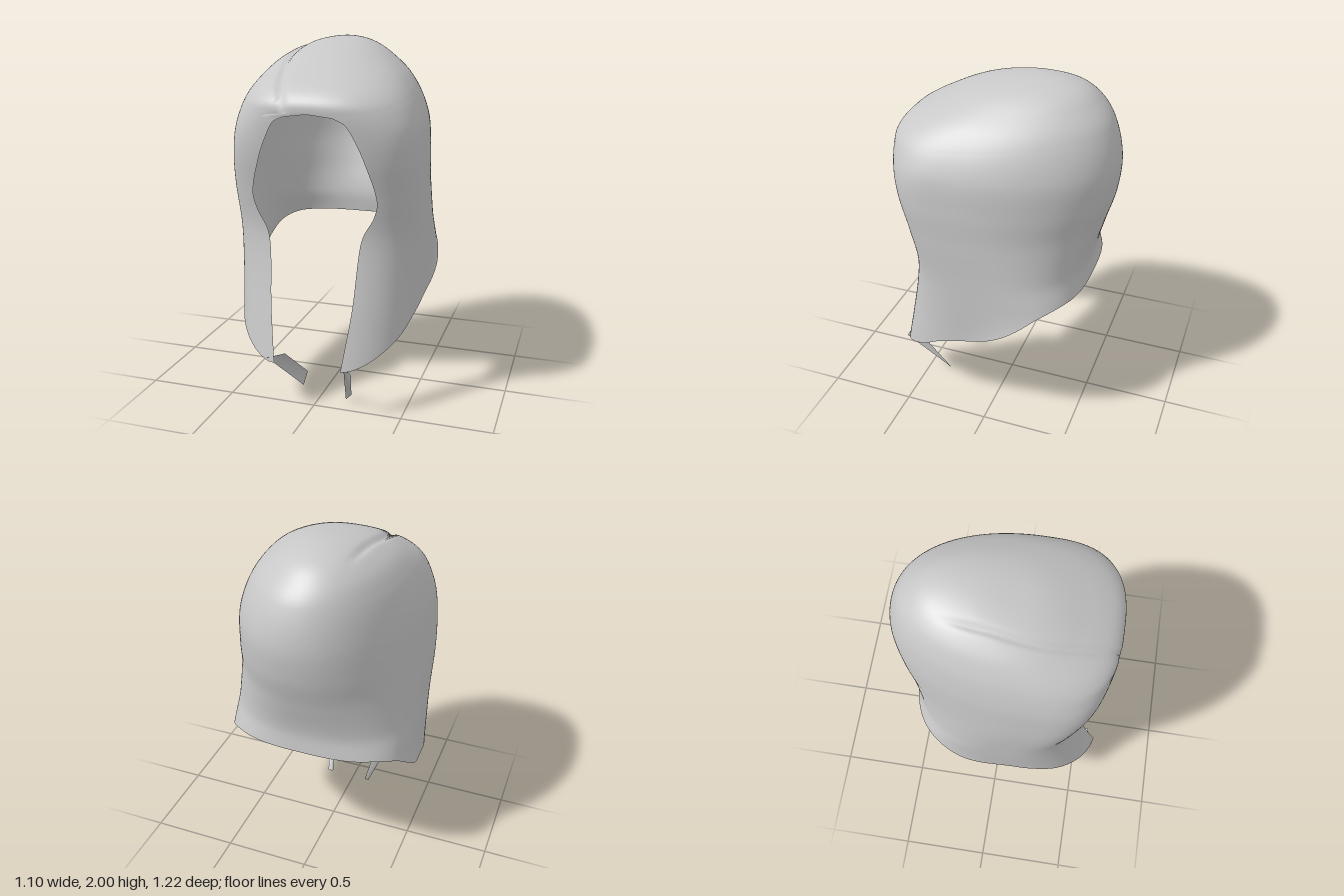
import * as THREE from 'three';
import { mergeVertices } from 'three/addons/utils/BufferGeometryUtils.js';

// Smooth curve through [key, value] pairs with ascending keys.
function track(points) {
  const n = points.length - 1;
  const slope = (i) => {
    const a = points[Math.max(i - 1, 0)], b = points[Math.min(i + 1, n)];
    return (b[1] - a[1]) / (b[0] - a[0]);
  };
  return (k) => {
    if (k <= points[0][0]) return points[0][1];
    if (k >= points[n][0]) return points[n][1];
    let i = 0;
    while (points[i + 1][0] < k) i++;
    const [k0, v0] = points[i], [k1, v1] = points[i + 1];
    const d = k1 - k0, t = (k - k0) / d, t2 = t * t, t3 = t2 * t;
    return v0 * (2 * t3 - 3 * t2 + 1) + v1 * (3 * t2 - 2 * t3)
      + d * (slope(i) * (t3 - 2 * t2 + t) + slope(i + 1) * (t3 - t2));
  };
}

// Same, keyed by height from the crown down, so the crown stays round.
function heightTrack(points) {
  const f = track(points.map(([y, v]) => [Math.sqrt(2 - y), v]));
  return (y) => f(Math.sqrt(Math.max(0, 2 - y)));
}

const ARCH = 1.65; // top of the face opening
const TIP = 0.28;  // lowest front corner

// Half width, sideways lean, front, widest and back depth, and squareness of the horizontal sections
const halfWidth = heightTrack([[2, 0], [1.95, 0.21], [1.8, 0.395], [1.6, 0.495], [1.4, 0.522],
  [1.2, 0.53], [1, 0.53], [0.8, 0.53], [0.6, 0.525], [TIP, 0.52]]);
const lean = heightTrack([[2, -0.03], [1.9, -0.025], [1.8, -0.005], [1.6, 0.014], [1.4, 0.01], [1.2, 0.002], [TIP, 0]]);
const frontZ = heightTrack([[2, -0.2], [1.98, 0], [1.94, 0.18], [1.85, 0.39], [1.8, 0.485], [1.75, 0.56],
  [1.7, 0.6], [1.65, 0.605], [1.55, 0.59], [1.4, 0.56], [1.2, 0.512], [1, 0.485], [0.8, 0.51], [0.5, 0.575], [TIP, 0.625]]);
const midZ = heightTrack([[2, -0.2], [1.95, -0.1], [1.8, 0.06], [1.6, 0.17], [1.4, 0.18], [1.2, 0.14],
  [0.85, 0.03], [TIP, 0.05]]);
const backZ = heightTrack([[2, -0.2], [1.97, -0.38], [1.9, -0.48], [1.8, -0.555], [1.6, -0.61],
  [1.4, -0.595], [1.2, -0.54], [1, -0.49], [0.88, -0.49], [TIP, -0.49]]);
const frontPower = heightTrack([[2, 2.1], [1.85, 2.35], [1.65, 2.8], [1.45, 3.4], [1.2, 3.3], [0.8, 2.9], [TIP, 2.65]]);
const backPower = heightTrack([[2, 2.1], [1.3, 2.15], [1, 2.6], [0.85, 3], [TIP, 3]]);

// Half width of the face opening and height of the bottom edge
const openingX = heightTrack([[ARCH, 0], [1.64, 0.11], [1.62, 0.165], [1.6, 0.195], [1.5, 0.25], [1.4, 0.29],
  [1.2, 0.345], [1.1, 0.325], [1, 0.27], [0.9, 0.25], [0.6, 0.23], [TIP, 0.19]]);
const hemY = track([[-0.48, 0.875], [-0.4, 0.865], [-0.3, 0.82], [-0.2, 0.745], [-0.1, 0.675], [0, 0.62],
  [0.2, 0.55], [0.3, 0.51], [0.4, 0.44], [0.5, 0.37], [0.6, TIP]]);
const seamX = track([[-0.3, -0.19], [-0.1, -0.21], [0.2, -0.23], [0.45, -0.18], [0.6, -0.13]]);

function section(a, y) {
  const c = Math.cos(a), s = Math.sin(a), front = c > 0;
  const e = 2 / (front ? frontPower(y) : backPower(y));
  const mid = midZ(y);
  return {
    x: lean(y) + halfWidth(y) * Math.sign(s) * Math.abs(s) ** e,
    z: mid + ((front ? frontZ(y) : backZ(y)) - mid) * Math.abs(c) ** e,
  };
}

// Angle at which a section meets the face opening
function startAngle(y) {
  if (y >= ARCH) return 0;
  return Math.asin((openingX(y) / halfWidth(y)) ** (frontPower(y) / 2));
}

function hoodGeometry(rows = 102, cols = 160) {
  const { smoothstep } = THREE.MathUtils;
  const pos = [], index = [], base = startAngle(TIP);
  for (let i = 0; i <= rows; i++) {
    let level = 2 - (2 - TIP) * (1 - i / rows) ** 2;
    if (Math.abs(level - ARCH) < 0.006) level = ARCH;
    const a0 = startAngle(level), rise = (level - TIP) / (2 - TIP);
    for (let j = 0; j <= cols; j++) {
      const t = j / cols;
      const hem = hemY(section(base + (2 * Math.PI - 2 * base) * t, TIP).z);
      let y = hem + rise * (2 - hem);
      let { x, z } = section(a0 + (2 * Math.PI - 2 * a0) * t, y);
      // Hem flaring out at the sides and back
      const flare = 0.055 * (1 - rise) ** 11 * (1 - smoothstep(z, -0.2, 0.15));
      x *= 1 + flare;
      z *= 1 + flare * 0.4;
      // Pressed-in seam running over the crown
      const fade = smoothstep(z, -0.35, -0.1) * smoothstep(y, 1.6, 1.7);
      const groove = 0.014 * fade * Math.exp(-(((x - seamX(z)) / 0.02) ** 2));
      y -= groove;
      z -= groove * 0.6;
      pos.push(x, y, z);
      if (i < rows && j < cols) {
        const p = i * (cols + 1) + j, q = p + cols + 1;
        index.push(p, p + 1, q + 1, p, q + 1, q);
      }
    }
  }
  const g = new THREE.BufferGeometry();
  g.setAttribute('position', new THREE.Float32BufferAttribute(pos, 3));
  g.setIndex(index);
  const merged = mergeVertices(g, 1e-4);
  merged.computeVertexNormals();
  return merged;
}

// Flat tapered tie from four corners
function tieGeometry(corners) {
  const g = new THREE.BufferGeometry();
  g.setAttribute('position', new THREE.Float32BufferAttribute(corners.flat(), 3));
  g.setIndex([0, 1, 2, 0, 2, 3]);
  g.computeVertexNormals();
  return g;
}

export function createModel() {
  const cloth = new THREE.MeshStandardMaterial({ color: 0xc8c8c8, side: THREE.DoubleSide });
  cloth.name = 'grey cloth';
  const group = new THREE.Group();
  group.name = 'hood';
  const add = (name, geometry) => {
    const mesh = new THREE.Mesh(geometry, cloth);
    mesh.name = name;
    group.add(mesh);
  };
  add('hoodShell', hoodGeometry());
  add('leftTie', tieGeometry([[0.2, 0.31, 0.59], [0.15, 0, 0.38], [0.175, 0.02, 0.355], [0.25, 0.27, 0.61]]));
  add('rightTie', tieGeometry([[-0.235, 0.3, 0.6], [-0.12, 0.03, 0.34], [-0.115, 0.09, 0.28], [-0.145, 0.32, 0.56]]));
  return group;
}
